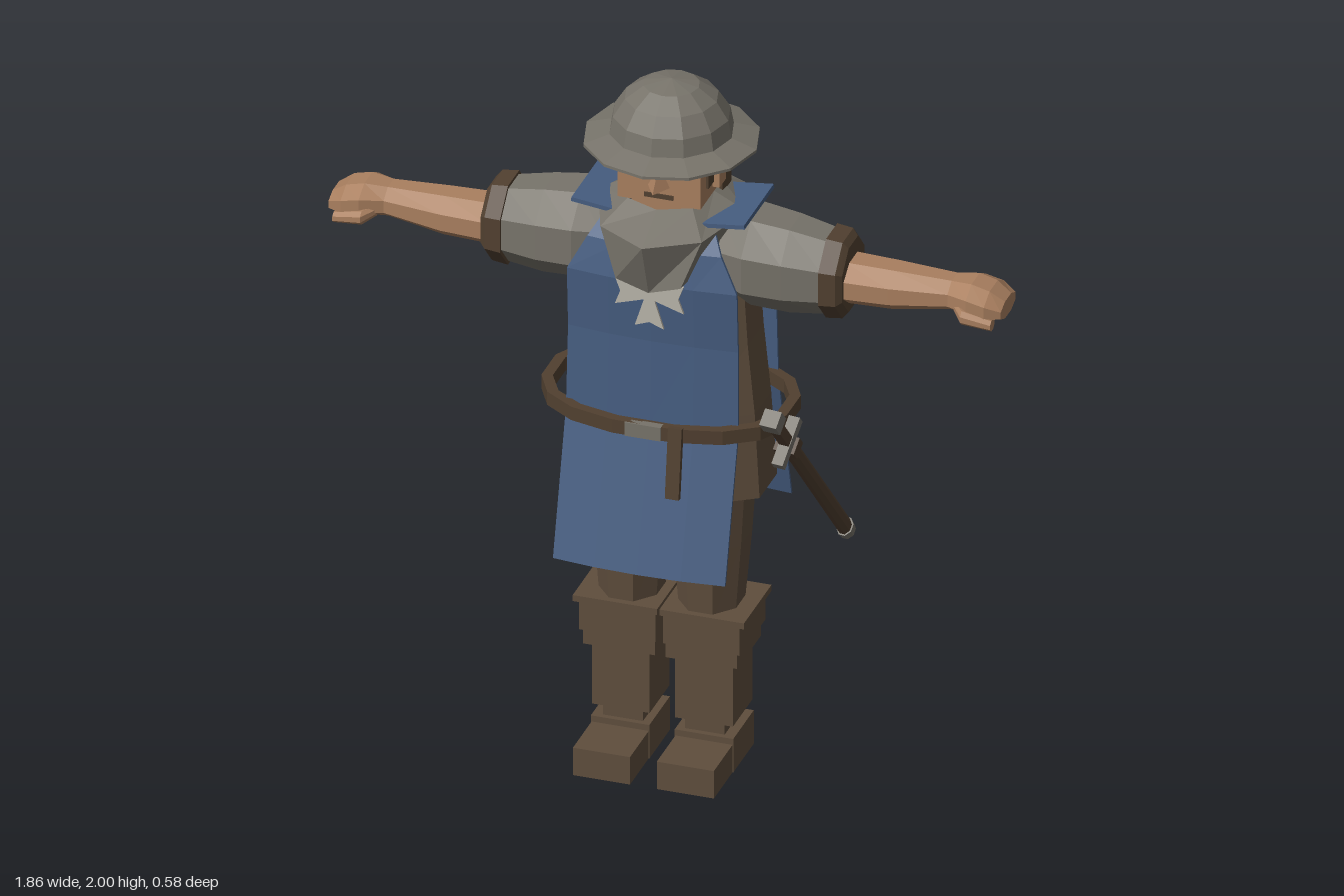
import * as THREE from 'three';

const mat = (name, color) => new THREE.MeshStandardMaterial({ name, color, flatShading: true, side: THREE.DoubleSide });

export function createModel() {
  const root = new THREE.Group();
  root.name = 'soldier';
  const cloth = mat('blue cloth', 0x465d80);
  const steel = mat('grey steel', 0x77736a);
  const leather = mat('brown leather', 0x5f4e3d);
  const dark = mat('dark leather', 0x514030);
  const skin = mat('skin', 0xa97f5f);
  const white = mat('pale emblem', 0xb8b4aa);

  const add = (name, geo, material, parent = root) => {
    const m = new THREE.Mesh(geo, material);
    m.name = name;
    parent.add(m);
    return m;
  };
  // box given by its limits
  const box = (name, x0, x1, y0, y1, z0, z1, material, parent) => {
    const g = new THREE.BoxGeometry(Math.abs(x1 - x0), y1 - y0, z1 - z0);
    g.translate((x0 + x1) / 2, (y0 + y1) / 2, (z0 + z1) / 2);
    return add(name, g, material, parent);
  };
  // skin between cross-sections of equal length
  const loft = (rings, { closed = true, caps = true } = {}) => {
    const n = rings[0].length, idx = [];
    for (let i = 0; i < rings.length - 1; i++)
      for (let j = 0; j < (closed ? n : n - 1); j++) {
        const a = i * n + j, b = i * n + (j + 1) % n;
        idx.push(a, b, b + n, a, b + n, a + n);
      }
    if (caps) {
      const t = (rings.length - 1) * n;
      for (let j = 1; j < n - 1; j++) idx.push(0, j + 1, j, t, t + j, t + j + 1);
    }
    const g = new THREE.BufferGeometry();
    g.setAttribute('position', new THREE.Float32BufferAttribute(rings.flat(2), 3));
    g.setIndex(idx);
    g.computeVertexNormals();
    return g;
  };
  // octagon with flat sides at height y
  const oct = (y, rx, rz, cx = 0, cz = 0) => Array.from({ length: 8 }, (_, i) => {
    const a = (i + 0.5) * Math.PI / 4, k = 1 / Math.cos(Math.PI / 8);
    return [cx + rx * k * Math.sin(a), y, cz + rz * k * Math.cos(a)];
  });

  // helmet
  const helmetProfile = [[0, 1.84], [0.15, 1.835], [0.235, 1.82], [0.235, 1.828], [0.166, 1.85], [0.157, 1.9],
    [0.125, 1.95], [0.075, 1.985], [0, 2]].map(p => new THREE.Vector2(...p));
  add('helmet', new THREE.LatheGeometry(helmetProfile, 12), steel).position.z = 0.008;

  // head
  box('face', -0.115, 0.115, 1.68, 1.84, -0.08, 0.11, skin);
  box('neck', -0.085, 0.085, 1.6, 1.69, -0.08, 0.08, skin);
  box('hair', -0.128, 0.128, 1.66, 1.835, -0.1, -0.03, dark);
  const nose = add('nose', new THREE.ConeGeometry(0.045, 0.065, 4), skin);
  nose.scale.set(0.7, 1, 1.2);
  nose.position.set(0, 1.762, 0.108);
  box('mouth', -0.04, 0.04, 1.695, 1.708, 0.108, 0.114, dark);
  for (const s of [-1, 1]) {
    box('sideHair', s * 0.11, s * 0.138, 1.765, 1.835, -0.03, 0.065, dark);
    box('sideburn', s * 0.11, s * 0.122, 1.72, 1.77, 0.02, 0.065, dark);
    box('ear', s * 0.11, s * 0.135, 1.7, 1.766, -0.035, 0.015, skin);
    box('eye', s * 0.03, s * 0.082, 1.783, 1.808, 0.108, 0.115, dark);
  }

  // hood: each ring from its front, diagonal and side point
  const hoodRing = (f, d, s) => [[0, ...f], d, [s[0], s[1], 0], [d[0], d[1], -d[2]],
    [0, f[0], -f[1]], [-d[0], d[1], -d[2]], [-s[0], s[1], 0], [-d[0], d[1], d[2]]];
  add('hood', loft([
    hoodRing([1.455, 0.195], [0.09, 1.485, 0.198], [0.2, 1.6]),
    hoodRing([1.615, 0.25], [0.14, 1.62, 0.175], [0.205, 1.635]),
    hoodRing([1.67, 0.13], [0.09, 1.675, 0.1], [0.115, 1.68]),
    hoodRing([1.62, 0.1], [0.07, 1.62, 0.08], [0.09, 1.62]),
  ], { caps: false }), steel);

  // tunic
  add('tunic', loft([oct(0.825, 0.265, 0.172), oct(1.07, 0.25, 0.16), oct(1.27, 0.23, 0.155),
    oct(1.5, 0.215, 0.15), oct(1.62, 0.17, 0.11)]), leather);

  // tabard panels: rows of height, depth, half width
  const rows = [[0.66, 0.287, 0.238], [1.06, 0.182, 0.238], [1.3, 0.174, 0.235], [1.475, 0.184, 0.235],
    [1.57, 0.165, 0.185], [1.63, 0.12, 0.15]];
  for (const s of [-1, 1]) {
    const panel = d => rows.map(([y, z, w]) => [-1, -0.5, 0, 0.5, 1].map(u =>
      [u * w, y, s * (z - d - 0.016 * u * u)]));
    const outer = panel(0), inner = panel(0.008);
    add(s > 0 ? 'frontTabard' : 'backTabard',
      loft(outer.map((r, i) => [...r, ...inner[i].reverse()]), { caps: false }), cloth);
    const strap = box('shoulderStrap', -0.075, 0.075, -0.006, 0.006, -0.12, 0.12, cloth);
    strap.position.set(s * 0.165, 1.645, 0);
    strap.rotation.z = s * 0.12;
  }

  // chest emblem: four flared arms
  const emblem = new THREE.Group();
  emblem.name = 'chestCross';
  emblem.position.set(0, 1.445, 0.182);
  root.add(emblem);
  for (let i = 0; i < 4; i++) {
    const shape = new THREE.Shape([[-0.01, 0], [0.01, 0], [0.04, 0.095], [0, 0.08], [-0.04, 0.095]]
      .map(p => new THREE.Vector2(...p)));
    add('crossArm', new THREE.ExtrudeGeometry(shape, { depth: 0.007, bevelEnabled: false }), white, emblem)
      .rotation.z = i * Math.PI / 2;
  }

  // belt, buckle and hanging strap
  const loop = (rx, rz) => Array.from({ length: 16 }, (_, i) => {
    const a = (i + 0.5) * Math.PI / 8, f = v => Math.sign(v) * Math.abs(v) ** 0.85;
    return new THREE.Vector2(rx * f(Math.cos(a)), rz * f(Math.sin(a)));
  });
  const beltShape = new THREE.Shape(loop(0.345, 0.23));
  beltShape.holes.push(new THREE.Path(loop(0.315, 0.203)));
  const belt = add('belt', new THREE.ExtrudeGeometry(beltShape, { depth: 0.04, bevelEnabled: false }), dark);
  belt.rotation.x = -Math.PI / 2;
  belt.position.set(0, 1.045, 0.012);
  box('buckle', -0.05, 0.05, 1.045, 1.085, 0.22, 0.243, steel);
  const strap = box('beltStrap', -0.019, 0.019, -0.2, 0, -0.008, 0.008, dark);
  strap.position.set(0.09, 1.09, 0.236);
  strap.rotation.x = -0.13;

  // arms and legs
  for (const s of [-1, 1]) {
    const limb = (name, sections, material) => {
      // section: distance from centre, height, depth, middle height, middle depth
      const g = loft(sections.map(([x, h, d, y = 1.5, z = 0]) => oct(x, h / 2, d / 2, -s * y, z)));
      g.rotateZ(-s * Math.PI / 2);
      add(name, g, material);
    };
    limb('sleeve', [[0.16, 0.2, 0.22, 1.52], [0.235, 0.25, 0.27, 1.515], [0.34, 0.245, 0.24, 1.505],
      [0.445, 0.215, 0.2, 1.5]], steel);
    limb('sleeveCuff', [[0.44, 0.235, 0.22, 1.5], [0.485, 0.225, 0.21, 1.5], [0.5, 0.19, 0.18, 1.5]], dark);
    limb('forearmAndHand', [[0.49, 0.12, 0.16, 1.49], [0.62, 0.115, 0.145, 1.49], [0.78, 0.085, 0.115, 1.5],
      [0.84, 0.09, 0.16, 1.505, 0.005], [0.89, 0.085, 0.16, 1.495, 0.005], [0.93, 0.05, 0.12, 1.485, 0.005]], skin);
    limb('thumb', [[0.8, 0.03, 0.03, 1.485, 0.05], [0.83, 0.04, 0.045, 1.475, 0.08],
      [0.91, 0.03, 0.035, 1.46, 0.075]], skin);

    add('trouserLeg', loft([oct(0.44, 0.078, 0.09, s * 0.11, 0.005), oct(0.66, 0.095, 0.11, s * 0.11),
      oct(0.9, 0.105, 0.12, s * 0.115)]), leather);
    box('bootLip', s * 0.003, s * 0.237, 0.45, 0.468, -0.107, 0.115, leather);
    box('bootCuff', s * 0.01, s * 0.222, 0.365, 0.45, -0.1, 0.108, leather);
    box('bootCuffFold', s * 0.015, s * 0.213, 0.32, 0.365, -0.092, 0.1, leather);
    box('bootShin', s * 0.035, s * 0.195, 0.135, 0.32, -0.075, 0.083, leather);
    box('bootAnkle', s * 0.058, s * 0.168, 0.085, 0.135, -0.06, 0.07, leather);
    box('bootHeel', s * 0.035, s * 0.197, 0, 0.1, -0.08, 0.085, leather);
    box('bootToe', s * 0.037, s * 0.195, 0, 0.082, 0.08, 0.235, leather);
  }

  // sheathed sword, built from pommel to tip and then slanted
  const sword = new THREE.Group();
  sword.name = 'sword';
  const top = new THREE.Vector3(0.362, 1.165, 0.25), tip = new THREE.Vector3(0.39, 0.56, -0.285);
  sword.position.copy(top);
  sword.quaternion.setFromUnitVectors(new THREE.Vector3(0, 1, 0), tip.clone().sub(top).normalize());
  root.add(sword);
  box('pommel', -0.024, 0.024, -0.02, 0.025, -0.024, 0.024, steel, sword);
  box('grip', -0.014, 0.014, 0.02, 0.16, -0.014, 0.014, dark, sword);
  box('guard', -0.016, 0.016, 0.14, 0.168, -0.07, 0.07, steel, sword);
  box('scabbardMouth', -0.035, 0.025, 0.165, 0.2, -0.024, 0.024, dark, sword);
  add('scabbard', loft([oct(0.165, 0.017, 0.022), oct(0.77, 0.017, 0.022)]), dark, sword);
  add('scabbardTip', loft([oct(0.765, 0.021, 0.026), oct(0.795, 0.02, 0.024), oct(0.81, 0.008, 0.01)]), steel, sword);

  return root;
}
